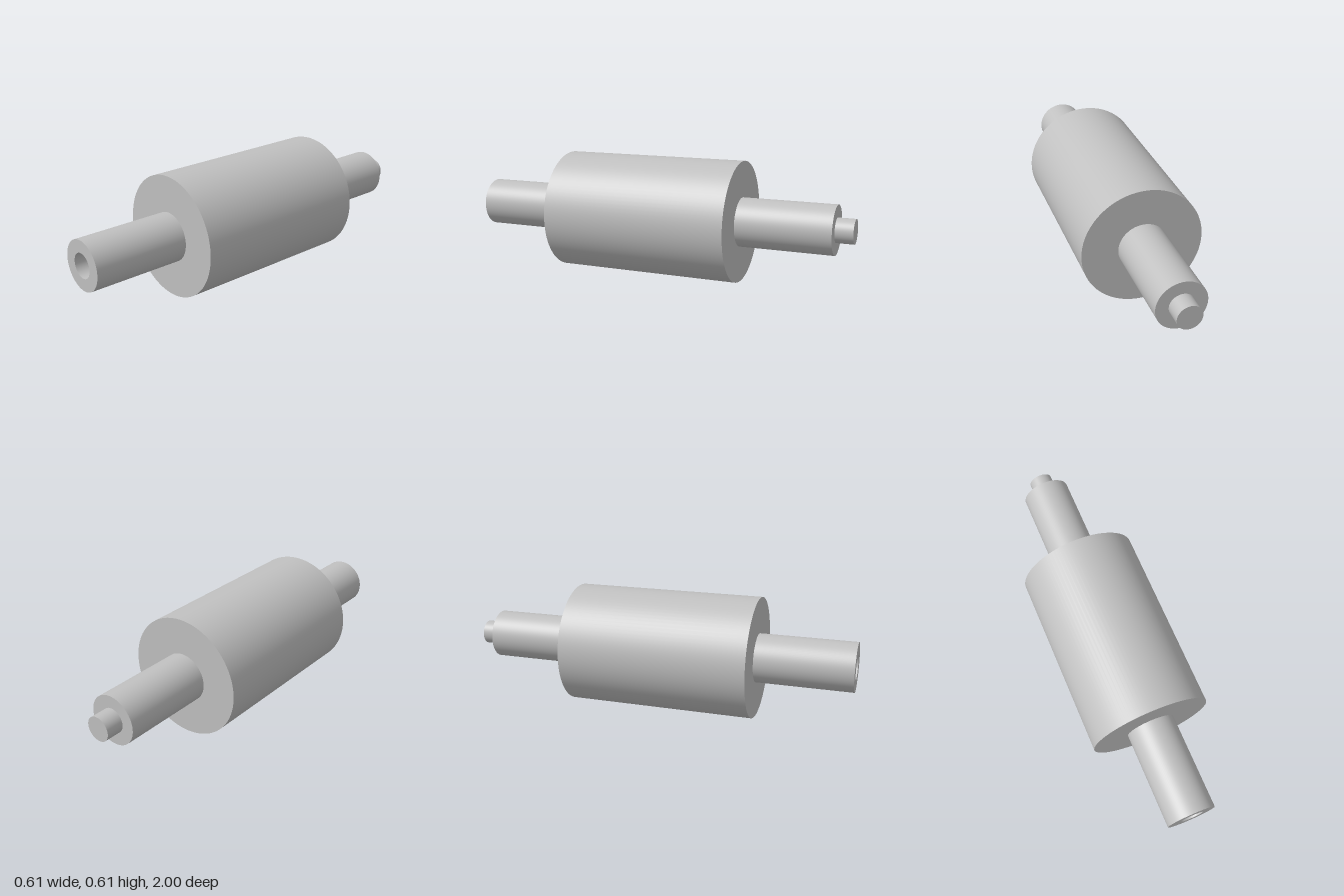
import * as THREE from 'three';
import { mergeGeometries } from 'three/addons/utils/BufferGeometryUtils.js';

const AXIS_Y = 0.304;
const BODY_R = 0.304, SHAFT_R = 0.123, PIN_R = 0.061;

// Revolve a [radius, z] profile about the z axis, listed from back to front;
// each span is its own lathe so the corners stay sharp.
function turned(profile) {
  const spans = [];
  for (let i = 0; i + 1 < profile.length; i++) {
    const pts = [profile[i], profile[i + 1]].map(([r, z]) => new THREE.Vector2(r, z));
    spans.push(new THREE.LatheGeometry(pts, 96));
  }
  return mergeGeometries(spans).rotateX(Math.PI / 2);
}

export function createModel() {
  const group = new THREE.Group();
  group.name = 'roller';
  const steel = new THREE.MeshStandardMaterial({ color: 0xc0c0c0 });
  steel.name = 'grey steel';

  const parts = {
    // Small pin on the back end
    pin: [[0, -1], [PIN_R, -1], [PIN_R, -0.912]],
    // Back shaft with its end shoulder
    backShaft: [[PIN_R, -0.912], [SHAFT_R, -0.912], [SHAFT_R, -0.439]],
    // Wide drum with ring-shaped end faces
    drum: [[SHAFT_R, -0.439], [BODY_R, -0.439], [BODY_R, 0.516], [SHAFT_R, 0.516]],
    // Front shaft with a blind socket in its end
    frontShaft: [[SHAFT_R, 0.516], [SHAFT_R, 1], [PIN_R, 1], [PIN_R, 0.88], [0, 0.88]],
  };

  for (const [name, profile] of Object.entries(parts)) {
    const mesh = new THREE.Mesh(turned(profile), steel);
    mesh.name = name;
    mesh.position.y = AXIS_Y;
    group.add(mesh);
  }
  return group;
}
